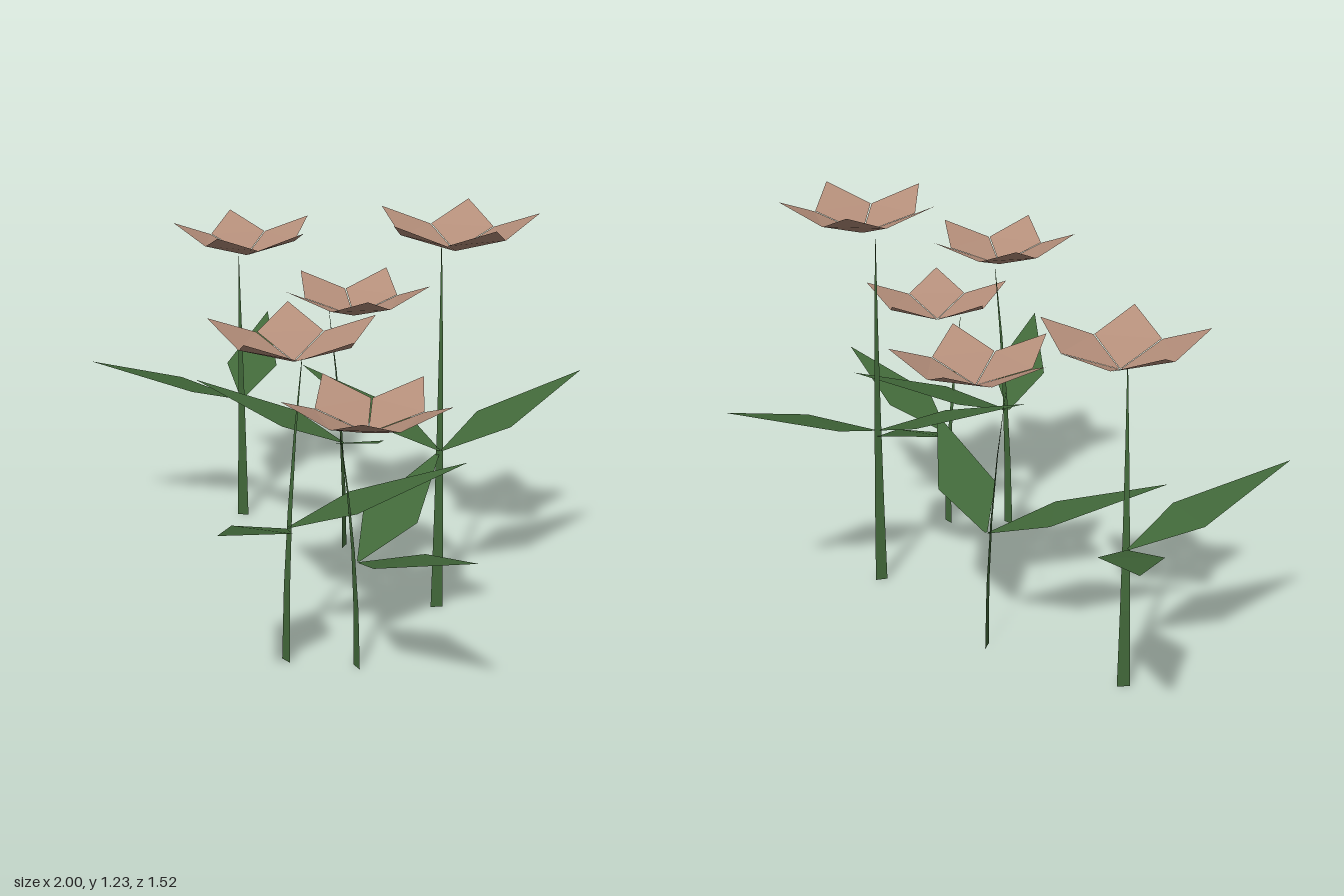
import * as THREE from 'three';

const green = new THREE.MeshStandardMaterial({ color: 0x42693a, side: THREE.DoubleSide, flatShading: true });
green.name = 'leaf green';
const pink = new THREE.MeshStandardMaterial({ color: 0xb48e7a, side: THREE.DoubleSide, flatShading: true });
pink.name = 'dusty pink';

// Strip through cross-section rows of [left point, right point]
function stripGeometry(rows) {
  const index = [];
  for (let i = 0; i < rows.length - 1; i++) {
    const a = i * 2;
    index.push(a, a + 1, a + 2, a + 1, a + 3, a + 2);
  }
  const g = new THREE.BufferGeometry();
  g.setAttribute('position', new THREE.Float32BufferAttribute(rows.flat(2), 3));
  g.setIndex(index);
  g.computeVertexNormals();
  return g;
}

// Pointed blade along +x: each section is [distance, height, half width]
function bladeGeometry(sections) {
  return stripGeometry(sections.map(([x, y, w]) => [[x, y, w], [x, y, -w]]));
}

// Flat tapering stem, bending quadratically along +x
function stemGeometry(height, bend) {
  const rows = [];
  const steps = 4;
  for (let i = 0; i <= steps; i++) {
    const t = i / steps;
    const w = 0.0175 * (1 - t) + 0.001;
    rows.push([[bend * t * t, height * t, w], [bend * t * t, height * t, -w]]);
  }
  return stripGeometry(rows);
}

const leafGeometry = bladeGeometry([[0.004, 0.001, 0.004], [0.19, 0.07, 0.088], [0.51, 0.177, 0.0005]]);
const petalGeometry = bladeGeometry([[0.004, -0.003, 0.002], [0.129, 0.045, 0.0915], [0.241, 0.101, 0.0005]]);

function addPart(parent, name, geometry, material, degrees, y = 0) {
  const mesh = new THREE.Mesh(geometry, material);
  mesh.name = name;
  mesh.position.y = y;
  mesh.rotation.y = -THREE.MathUtils.degToRad(degrees); // angle runs from +x towards +z
  parent.add(mesh);
}

// x, z, bloom height, and headings of the stem bend, leaf pair and first petal
const plants = [
  { x: -0.655, z: -0.245, height: 0.94, bend: 41, leaves: 170, petals: -13 },
  { x: -0.215, z: -0.34, height: 0.81, bend: 153, leaves: 86, petals: 30 },
  { x: 0.33, z: -0.257, height: 1.13, bend: 211, leaves: 222, petals: 16 },
  { x: 0.488, z: 0.197, height: 0.72, bend: 100, leaves: -53.6, petals: 44 },
  { x: 0.332, z: 0.33, height: 0.91, bend: -90, leaves: 0, petals: -2 },
];

export function createModel() {
  const model = new THREE.Group();
  model.name = 'flowerPatch';
  for (const p of plants) {
    const plant = new THREE.Group();
    plant.name = 'flower';
    plant.position.set(p.x, 0, p.z);

    addPart(plant, 'stem', stemGeometry(p.height, 0.06), green, p.bend);
    for (const side of [-1, 1]) {
      addPart(plant, 'leaf', leafGeometry, green, p.leaves + side * 57.3, p.height * 0.45);
    }

    // Bloom of five cupped petals
    const bloom = new THREE.Group();
    bloom.name = 'bloom';
    bloom.position.set(0.038, p.height, 0);
    for (let i = 0; i < 5; i++) addPart(bloom, 'petal', petalGeometry, pink, p.petals + i * 72);
    plant.add(bloom);
    model.add(plant);
  }
  return model;
}
